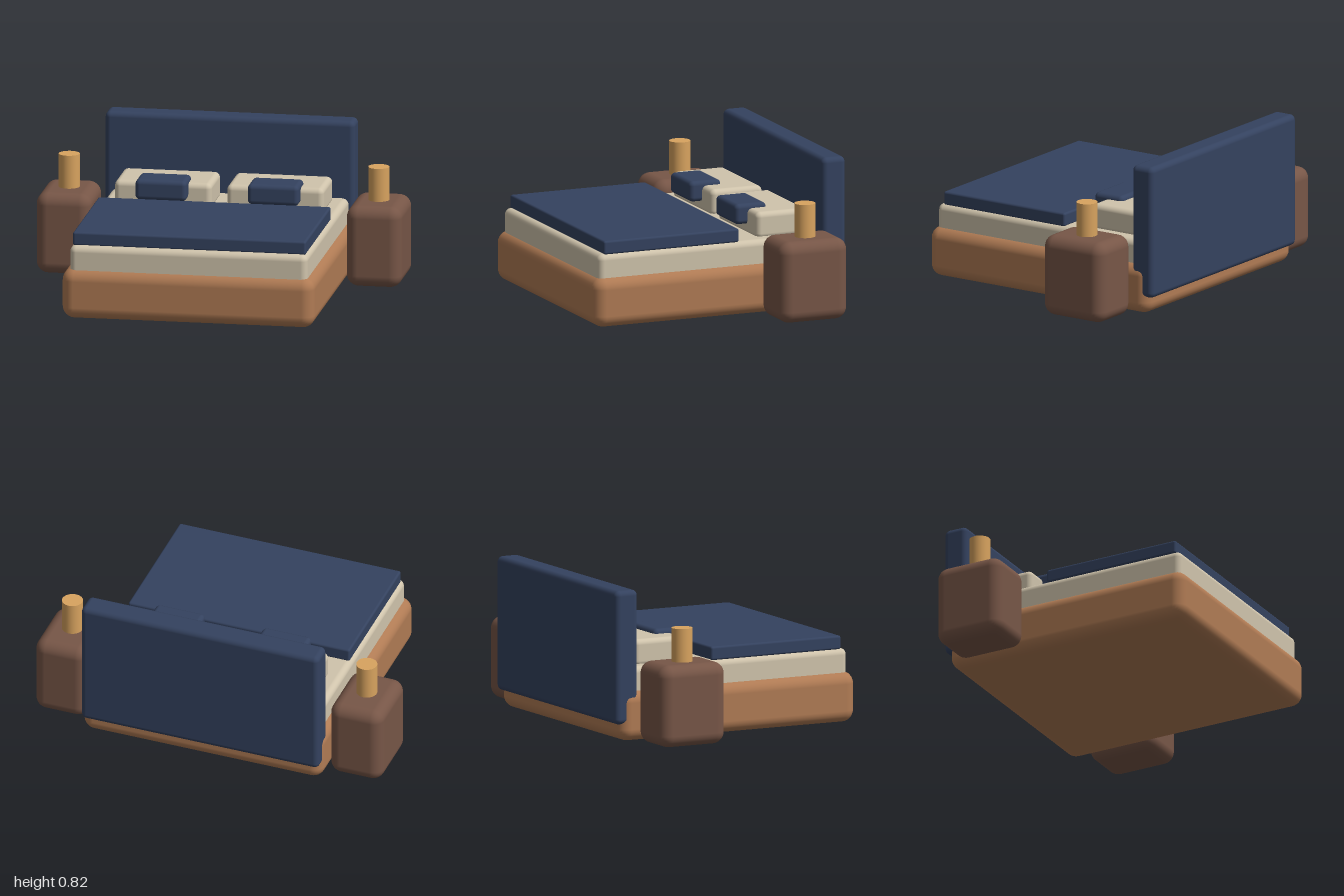
import * as THREE from 'three';
import { RoundedBoxGeometry } from 'three/addons/geometries/RoundedBoxGeometry.js';

const material = (name, color) => {
  const m = new THREE.MeshStandardMaterial({ color });
  m.name = name;
  return m;
};

export function createModel() {
  const model = new THREE.Group();
  model.name = 'bedroomSet';

  const wood = material('warm wood', 0xb07b54);
  const walnut = material('dark wood', 0x775647);
  const linen = material('cream linen', 0xd0c4ac);
  const navy = material('navy fabric', 0x34425f);
  const amber = material('amber lamp', 0xd8a35f);

  // Rounded block given by its extents on each axis
  function block(name, mat, [x0, x1], [y0, y1], [z0, z1], radius) {
    const geometry = new RoundedBoxGeometry(x1 - x0, y1 - y0, z1 - z0, 4, radius);
    const mesh = new THREE.Mesh(geometry, mat);
    mesh.name = name;
    mesh.position.set((x0 + x1) / 2, (y0 + y1) / 2, (z0 + z1) / 2);
    model.add(mesh);
  }

  // Bed
  block('bedBase', wood, [-0.69, 0.69], [0.005, 0.28], [-0.71, 0.735], 0.065);
  block('headboard', navy, [-0.683, 0.683], [0.1, 0.83], [-0.738, -0.6], 0.03);
  block('mattress', linen, [-0.65, 0.65], [0.22, 0.405], [-0.66, 0.7], 0.035);
  block('blanket', navy, [-0.637, 0.637], [0.4, 0.475], [-0.13, 0.665], 0.012);

  // Everything that comes in left and right pairs
  for (const [side, s] of [['left', 1], ['right', -1]]) {
    const span = (a, b) => (s > 0 ? [a, b] : [-b, -a]);
    block(side + 'Pillow', linen, span(0.042, 0.572), [0.39, 0.537], [-0.565, -0.26], 0.03);
    block(side + 'Cushion', navy, span(0.167, 0.447), [0.45, 0.562], [-0.375, -0.19], 0.025);
    block(side + 'Nightstand', walnut, span(0.697, 1), [0.005, 0.452], [-0.622, -0.224], 0.065);

    // Lamp standing on the nightstand
    const lamp = new THREE.Mesh(new THREE.CylinderGeometry(0.057, 0.057, 0.19, 32), amber);
    lamp.name = side + 'Lamp';
    lamp.position.set(s * 0.847, 0.54, -0.424);
    model.add(lamp);
  }

  return model;
}
